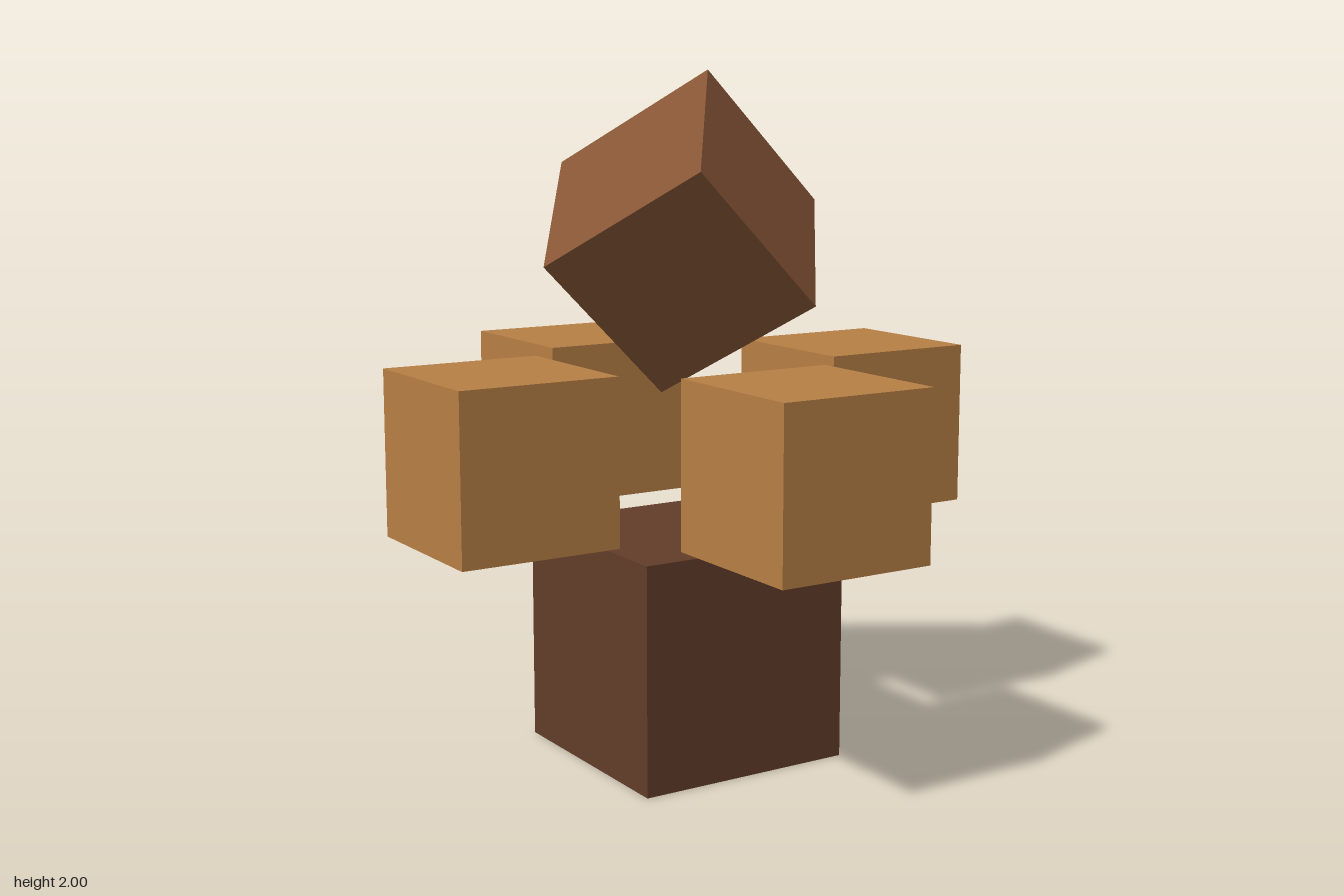
import * as THREE from 'three';

function cube(name, size, color, x, y, z) {
  const mesh = new THREE.Mesh(
    new THREE.BoxGeometry(size, size, size),
    new THREE.MeshStandardMaterial({ color, flatShading: true })
  );
  mesh.name = name;
  mesh.position.set(x, y, z);
  return mesh;
}

export function createModel() {
  const model = new THREE.Group();
  model.name = 'cubeSculpture';

  // Dark base cube on the ground
  model.add(cube('baseCube', 0.664, 0x633d29, 0, 0.332, 0));

  // Ring of four floating cubes
  const ring = new THREE.Group();
  ring.name = 'cubeRing';
  const sides = [['leftCube', 1, 0], ['rightCube', -1, 0], ['frontCube', 0, 1], ['backCube', 0, -1]];
  for (const [name, x, z] of sides) {
    ring.add(cube(name, 0.48, 0xb98145, x * 0.602, 0.938, z * 0.602));
  }
  model.add(ring);

  // Top cube: turned 45 degrees about its own axis, then tipped 45 degrees sideways
  const top = cube('topCube', 0.54, 0x875636, 0, 1.539, 0);
  top.rotation.set(0, Math.PI / 4, Math.PI / 4, 'ZYX');
  model.add(top);

  return model;
}
